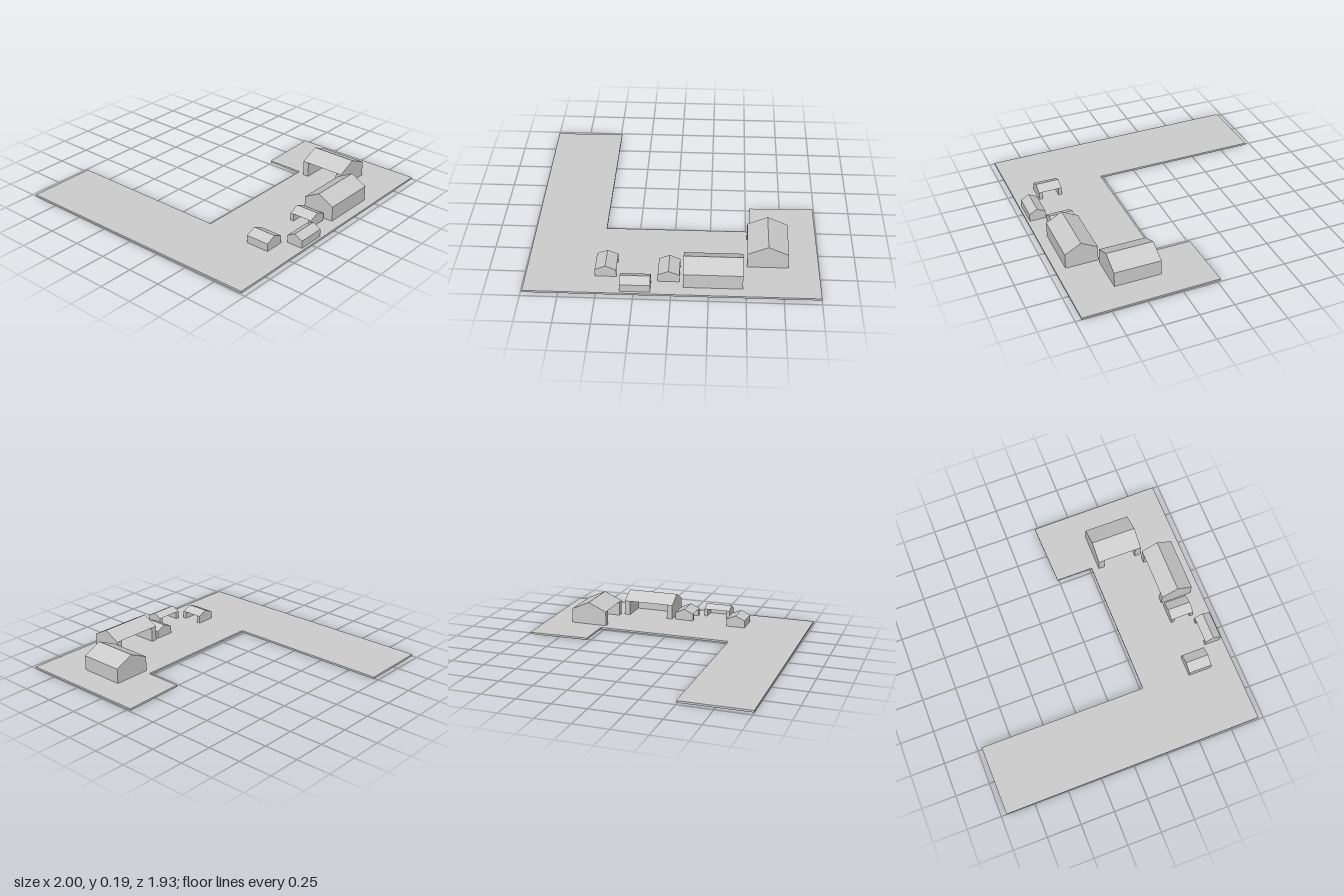
import * as THREE from 'three';

const material = new THREE.MeshStandardMaterial({ color: 0xcccccc, flatShading: true });
const GROUND = 0.014;

function polygon(points) {
  return new THREE.Shape(points.map(([x, y]) => new THREE.Vector2(x, y)));
}

function addExtrusion(group, name, points, depth, z) {
  const geometry = new THREE.ExtrudeGeometry(polygon(points), { depth, bevelEnabled: false });
  const mesh = new THREE.Mesh(geometry, material);
  mesh.name = name;
  mesh.position.z = z;
  group.add(mesh);
  return mesh;
}

// Gabled shed with its ridge along local z and its open side towards local -x
function makeShed({ name, x, z, width, length, eave, ridge, wall, turn }) {
  const shed = new THREE.Group();
  shed.name = name;
  const w = width / 2;
  const l = length / 2;
  const gable = [[-w, 0], [w, 0], [w, eave], [0, ridge], [-w, eave]];
  const inner = length - 2 * wall;

  // Solid gable walls at both ends
  addExtrusion(shed, 'gableWall', gable, wall, -l);
  addExtrusion(shed, 'gableWall', gable, wall, l - wall);

  // Back wall and roof between them, leaving one long side open
  const span = [[w - wall, 0], [w, 0], [w, eave], [0, ridge], [-w, eave], [w - wall, eave]];
  addExtrusion(shed, 'roofAndBackWall', span, inner, -l + wall);

  shed.position.set(x, GROUND, z);
  shed.rotation.y = turn;
  return shed;
}

export function createModel() {
  const model = new THREE.Group();
  model.name = 'farmyard';

  // Ground slab: a U-shaped plot, outlined in x and z
  const outline = [
    [-1, -0.96], [-0.49, -0.967], [-0.49, 0.27], [0.53, 0.265],
    [0.53, -0.01], [0.99, -0.025], [1, 0.957], [-0.99, 0.963],
  ].map(([x, z]) => [x, -z]);
  const slab = addExtrusion(model, 'groundSlab', outline, GROUND, 0);
  slab.rotation.x = -Math.PI / 2;

  // Sheds: small and large, each opening towards the yard
  const small = { width: 0.145, length: 0.173, eave: 0.056, ridge: 0.088, wall: 0.025 };
  const large = { width: 0.28, length: 0.338, eave: 0.111, ridge: 0.174, wall: 0.045 };
  const openLeft = Math.PI;
  const openRight = 0;
  const openBack = -Math.PI / 2;
  const sheds = [
    { ...small, name: 'westShed', x: -0.447, z: 0.707, turn: openLeft },
    { ...small, name: 'frontShed', x: -0.24, z: 0.882, width: 0.12, length: 0.205, turn: openBack },
    { ...small, name: 'middleShed', x: -0.02, z: 0.743, turn: openRight },
    { ...large, name: 'longBarn', x: 0.278, z: 0.767, width: 0.235, length: 0.4, turn: openBack },
    { ...large, name: 'eastBarn', x: 0.648, z: 0.484, turn: openRight },
  ];
  sheds.forEach((spec) => model.add(makeShed(spec)));

  return model;
}
